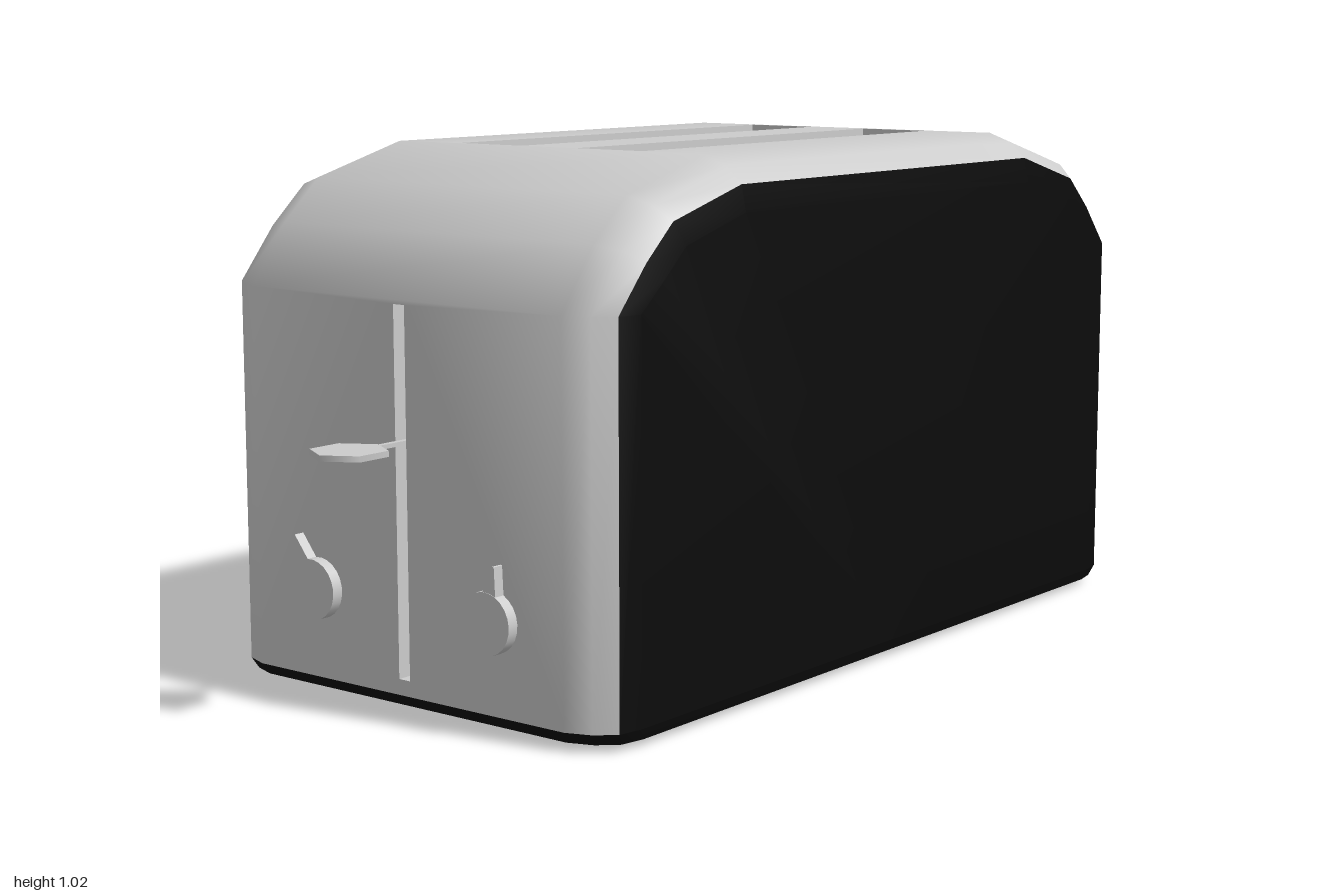
import * as THREE from 'three';
import { mergeGeometries, toCreasedNormals } from 'three/addons/utils/BufferGeometryUtils.js';

// Skin a list of rings, each an array of [x, y, z] points.
function loft(rings, { closed = false, skip = () => false } = {}) {
  const n = rings[0].length, index = [];
  for (let i = 0; i < rings.length - 1; i++) {
    for (let j = 0; j < (closed ? n : n - 1); j++) {
      if (skip(i, j)) continue;
      const k = (j + 1) % n;
      const a = i * n + j, b = a + n, c = (i + 1) * n + k, d = i * n + k;
      index.push(a, b, c, a, c, d);
    }
  }
  const g = new THREE.BufferGeometry();
  g.setAttribute('position', new THREE.Float32BufferAttribute(rings.flat(2), 3));
  g.setIndex(index);
  return g.toNonIndexed();
}

const rect = (x0, x1, y0, y1) => [[x0, y0], [x1, y0], [x1, y1], [x0, y1]];
const toPoints = (pts) => pts.map(([x, y]) => new THREE.Vector2(x, y));

// Flat panel with rectangular openings
function panel(outline, holes) {
  const shape = new THREE.Shape(toPoints(outline));
  holes.forEach((h) => shape.holes.push(new THREE.Path(toPoints(h))));
  const g = new THREE.ShapeGeometry(shape).toNonIndexed();
  g.deleteAttribute('normal');
  g.deleteAttribute('uv');
  return g;
}

const MID = -0.1; // body centre in z
const BASE_TOP = 0.035;
// Half of the arched profile: z from centre, y, and outward direction
const half = [
  [0.9, BASE_TOP, 1, 0], [0.9, 0.765, 1, 0], [0.814, 0.88, 0.8, 0.6],
  [0.724, 0.96, 0.5, 0.87], [0.5, 1.02, 0, 1],
];
const profile = [...half, ...half.map(([z, y, nz, ny]) => [-z, y, -nz, ny]).reverse()];
const ring = (x, inset) => profile.map(([z, y, nz, ny]) => [x, y - ny * inset, MID + z - nz * inset]);
const hub = (x) => profile.map(() => [x, BASE_TOP, MID]);

export function createModel() {
  const model = new THREE.Group();
  const steel = new THREE.MeshStandardMaterial({ color: 0xcccccc, side: THREE.DoubleSide });
  steel.name = 'brushed steel';
  const black = new THREE.MeshStandardMaterial({ color: 0x0b0b0b });
  black.name = 'black plastic';

  const add = (name, geometry, material, parent = model) => {
    if (!geometry.attributes.normal) geometry = toCreasedNormals(geometry, 0.9);
    const mesh = new THREE.Mesh(geometry, material);
    mesh.name = name;
    parent.add(mesh);
    return mesh;
  };

  // Steel shell, with the front and top faces replaced by pierced panels
  const slots = [[-0.232, -0.07], [0.067, 0.226]];
  const lever = rect(-0.015, 0.012, 0.065, 0.757);
  const top = panel(rect(-0.38, 0.38, -0.4, 0.6), slots.map(([a, b]) => rect(a, b, -0.385, 0.588)));
  top.rotateX(-Math.PI / 2).translate(0, 1.02, 0);
  const front = panel(rect(-0.38, 0.38, BASE_TOP, 0.765), [lever]).translate(0, 0, 0.8);
  const rings = [[-0.465, 0.05], [-0.43, 0.018], [-0.38, 0], [0.38, 0], [0.43, 0.018], [0.465, 0.05]];
  const shell = loft(rings.map(([x, inset]) => ring(x, inset)), {
    skip: (i, j) => i === 2 && (j === 0 || j === 4),
  });
  add('shell', mergeGeometries([shell, top, front]), steel);

  // Black side panels
  add('leftSide', loft([ring(0.465, 0.05), ring(0.475, 0.1), hub(0.475)]), black);
  add('rightSide', loft([hub(-0.475), ring(-0.475, 0.1), ring(-0.465, 0.05)]), black);

  // Base plate with rounded corners and a tucked-in underside
  const corner = [[0.475, 0.8], [0.465, 0.85], [0.43, 0.882], [0.38, 0.9]];
  const back = [...corner].reverse();
  const plan = [
    ...corner, ...back.map(([x, z]) => [-x, z]),
    ...corner.map(([x, z]) => [-x, -z]), ...back.map(([x, z]) => [x, -z]),
  ];
  const baseRing = (y, s) => plan.map(([x, z]) => [x * s, y, MID + z * s]);
  add('base', loft([
    baseRing(0, 0), baseRing(0, 0.86), baseRing(0.013, 0.985), baseRing(BASE_TOP, 1), baseRing(BASE_TOP, 0),
  ], { closed: true }), black);

  // Bread slot walls, open to the dark base
  slots.forEach(([a, b]) => {
    const plan4 = rect(a, b, -0.588, 0.385);
    add('breadSlot', loft([0.04, 1.02].map((y) => plan4.map(([x, z]) => [x, y, z])), { closed: true }), steel);
  });

  // Lever channel with a closed back
  const at = (z) => lever.map(([x, y]) => [x, y, z]);
  add('leverChannel', loft([at(0.8), at(0.72), lever.map(() => [0, 0.4, 0.72])], { closed: true }), steel);

  // Lever: thin stem and hexagonal paddle
  add('leverStem', new THREE.BoxGeometry(0.012, 0.008, 0.17), steel).position.set(0, 0.506, 0.805);
  const paddle = new THREE.CylinderGeometry(0.072, 0.072, 0.011, 6);
  add('leverPaddle', paddle, steel).position.set(-0.002, 0.506, 0.93);

  // Control knobs with pointed indicators
  [[-0.217, 0.42], [0.217, -0.2]].forEach(([x, turn]) => {
    const knob = new THREE.Group();
    knob.name = 'knob';
    knob.position.set(x, 0.208, 0.8);
    knob.rotation.z = turn;
    add('dial', new THREE.CylinderGeometry(0.058, 0.058, 0.034, 24).rotateX(Math.PI / 2), steel, knob)
      .position.z = 0.006;
    const tip = new THREE.Shape(toPoints([[-0.018, 0.045], [0.018, 0.045], [0.002, 0.108], [-0.002, 0.108]]));
    add('pointer', new THREE.ExtrudeGeometry(tip, { depth: 0.022, bevelEnabled: false }), steel, knob);
    model.add(knob);
  });

  return model;
}
